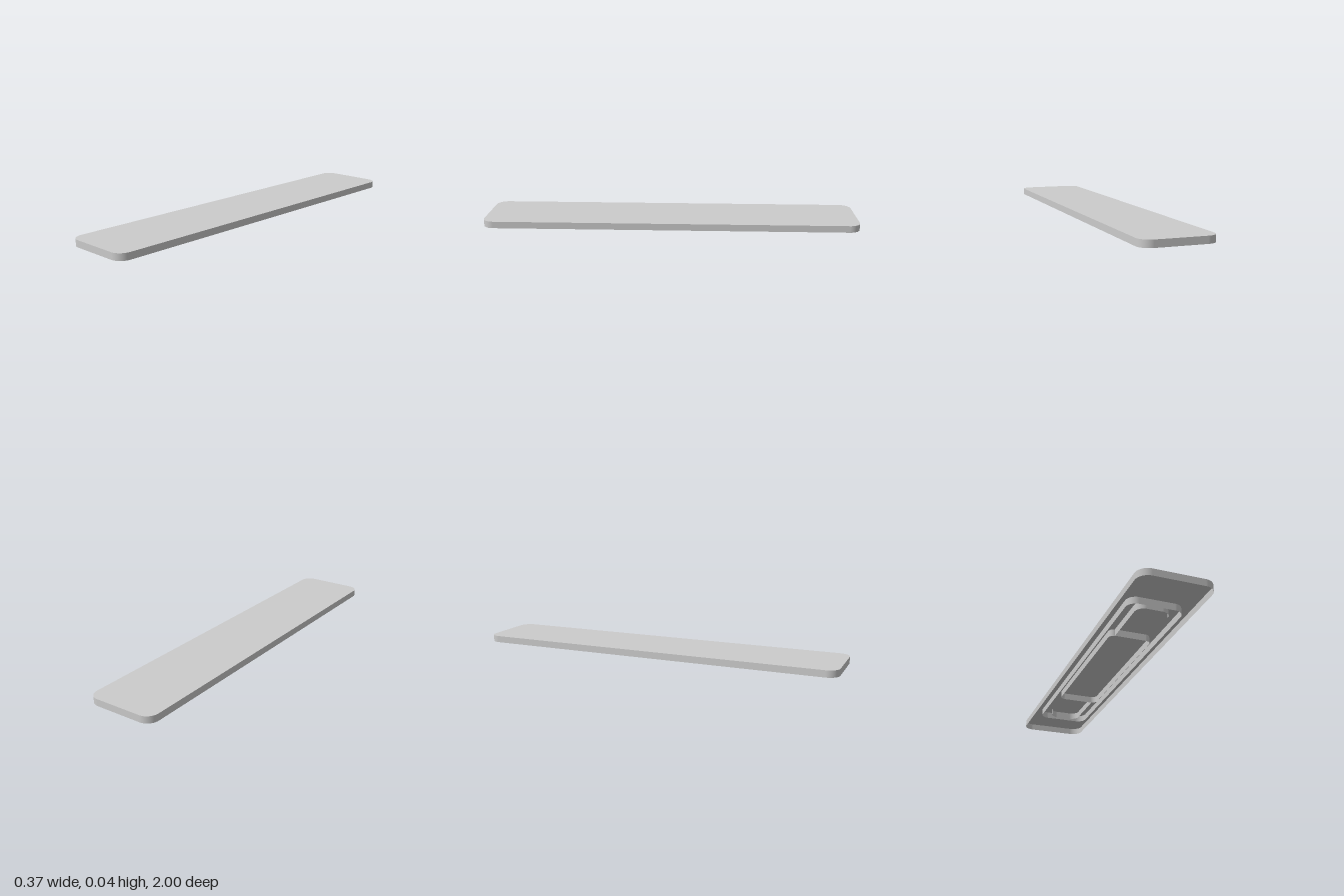
import * as THREE from 'three';

const HEIGHT = 0.036;
const material = new THREE.MeshStandardMaterial({ color: 0xcccccc, side: THREE.DoubleSide });

// Rounded rectangle outline with half sizes hx, hz
function roundedRect(hx, hz, r) {
  const s = new THREE.Shape();
  s.absarc(hx - r, hz - r, r, 0, Math.PI / 2);
  s.absarc(-hx + r, hz - r, r, Math.PI / 2, Math.PI);
  s.absarc(-hx + r, -hz + r, r, Math.PI, Math.PI * 1.5);
  s.absarc(hx - r, -hz + r, r, Math.PI * 1.5, Math.PI * 2);
  return s;
}

// Open U: starts and ends at z0, rounded at its far end z1
function uShape(hx, z0, z1, r) {
  const s = new THREE.Shape();
  s.moveTo(hx, z0);
  s.absarc(hx - r, z1 - r, r, 0, Math.PI / 2);
  s.absarc(-hx + r, z1 - r, r, Math.PI / 2, Math.PI);
  s.lineTo(-hx, z0);
  return s;
}

// Thin upright wall following an outline, from the ground to the top plate
function wall(name, shape, closed) {
  const pts = shape.getPoints(10);
  if (closed && pts[0].distanceTo(pts[pts.length - 1]) < 1e-6) pts.pop();
  const n = pts.length, pos = [], index = [];
  pts.forEach(p => pos.push(p.x, 0, p.y, p.x, HEIGHT, p.y));
  for (let i = 0; i < (closed ? n : n - 1); i++) {
    const a = 2 * i, b = 2 * ((i + 1) % n);
    index.push(a, a + 1, b, b, a + 1, b + 1);
  }
  const geo = new THREE.BufferGeometry();
  geo.setAttribute('position', new THREE.Float32BufferAttribute(pos, 3));
  geo.setIndex(index);
  geo.computeVertexNormals();
  const mesh = new THREE.Mesh(geo, material);
  mesh.name = name;
  return mesh;
}

export function createModel() {
  const group = new THREE.Group();
  group.name = 'coverPlate';

  // Flat top and its outer rim, open underneath
  const outline = roundedRect(0.187, 1, 0.06);
  const top = new THREE.Mesh(
    new THREE.ShapeGeometry(outline, 10).rotateX(-Math.PI / 2).translate(0, HEIGHT, 0), material);
  top.name = 'topPlate';
  group.add(top, wall('outerRim', outline, true));

  // Ribs on the underside: long ring, central ring and a U at each end
  group.add(wall('longRib', roundedRect(0.14, 0.76, 0.05), true));
  group.add(wall('centralRib', roundedRect(0.11, 0.43, 0.03), true));
  const front = wall('frontEndRib', uShape(0.085, 0.43, 0.73, 0.045), false);
  const back = wall('backEndRib', uShape(0.085, 0.43, 0.73, 0.045), false);
  back.rotation.y = Math.PI;
  group.add(front, back);
  return group;
}
